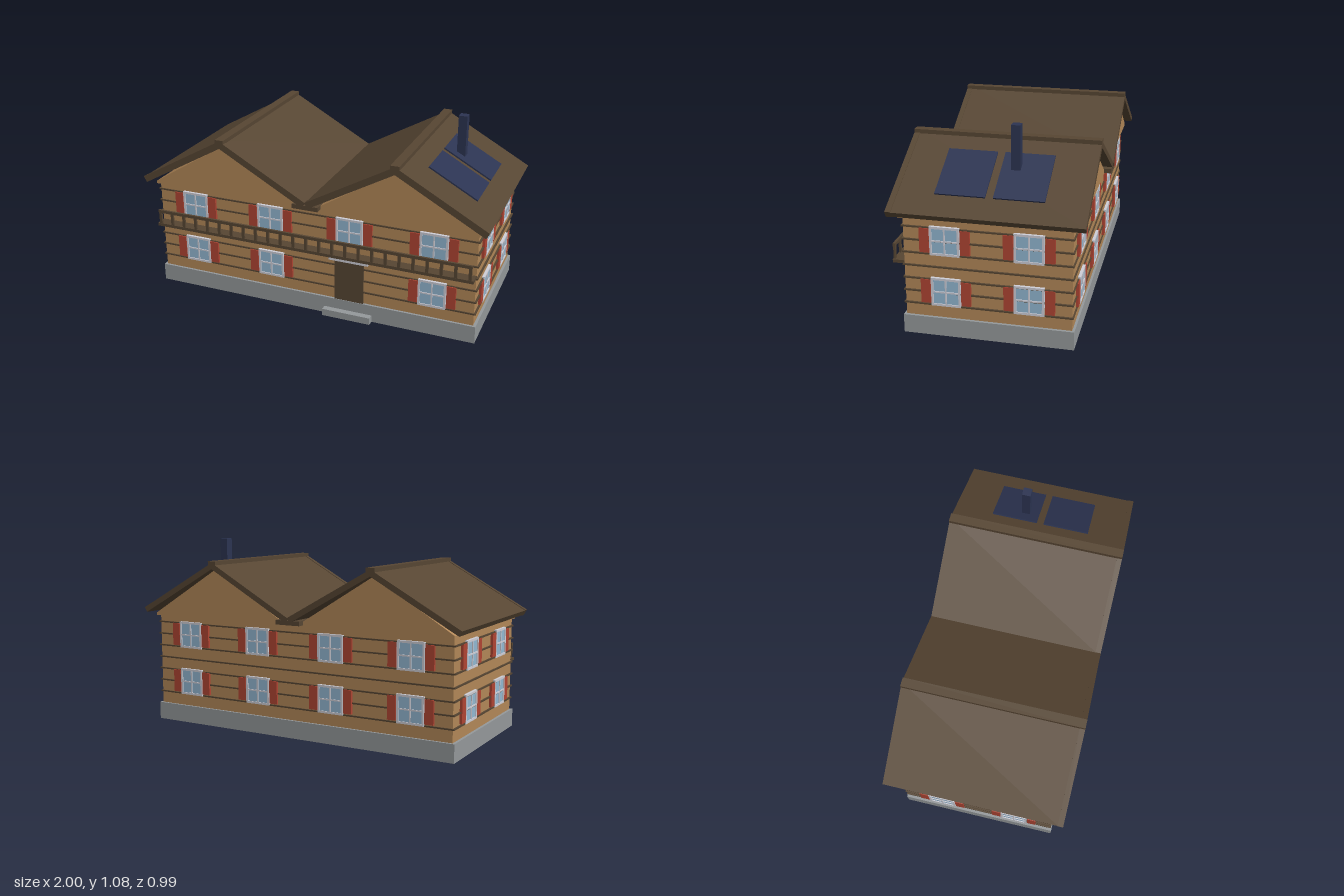
import * as THREE from 'three';

const mat = (name, color) => {
  const m = new THREE.MeshStandardMaterial({ color });
  m.name = name;
  return m;
};

export function createModel() {
  const house = new THREE.Group();
  house.name = 'doubleGableChalet';

  const wood = mat('honeyWood', 0xb38858);
  const timber = mat('darkTimber', 0x574633);
  const stone = mat('greyStone', 0x95999b);
  const trim = mat('paleTrim', 0xcfcfd8);
  const red = mat('shutterRed', 0xb04533);
  const glass = mat('windowGlass', 0x93b8d2);
  const navy = mat('navy', 0x2c3452);

  // Box given by its min and max corners
  const box = (name, m, x0, x1, y0, y1, z0, z1, parent = house) => {
    const mesh = new THREE.Mesh(new THREE.BoxGeometry(x1 - x0, y1 - y0, z1 - z0), m);
    mesh.position.set((x0 + x1) / 2, (y0 + y1) / 2, (z0 + z1) / 2);
    mesh.name = name;
    parent.add(mesh);
    return mesh;
  };

  // Base, walls and dark log joints
  box('foundation', stone, -0.95, 0.95, 0, 0.1, -0.443, 0.443);
  box('walls', wood, -0.935, 0.935, 0.1, 0.64, -0.43, 0.43);
  for (let i = 0; i < 7; i++) {
    const y = 0.17 + i * 0.07;
    box('logJoint', timber, -0.945, 0.945, y - 0.004, y + 0.004, -0.437, 0.437);
  }

  // Twin gable block
  const gable = new THREE.Shape([
    [-0.945, 0.63], [0.945, 0.63], [0.945, 0.645], [0.5, 0.918],
    [0.055, 0.645], [-0.055, 0.645], [-0.5, 0.918], [-0.945, 0.645],
  ].map(([x, y]) => new THREE.Vector2(x, y)));
  const gables = new THREE.Mesh(
    new THREE.ExtrudeGeometry(gable, { depth: 0.91, bevelEnabled: false }), wood);
  gables.position.z = -0.455;
  gables.name = 'gables';
  house.add(gables);

  // Roof slopes: local x runs down the slope, local y is the outward normal
  const RIDGE_Y = 0.955, EAVE_Y = 0.677;
  const pitch = Math.atan2(RIDGE_Y - EAVE_Y, 0.5);
  const length = Math.hypot(0.5, RIDGE_Y - EAVE_Y);
  const slopes = [];
  for (const ridgeX of [-0.5, 0.5]) {
    for (const side of [1, -1]) {
      const pivot = new THREE.Group();
      pivot.name = 'roofSlope';
      pivot.position.set(ridgeX, RIDGE_Y, 0);
      pivot.rotation.z = -side * pitch;
      const [a, b] = side > 0 ? [0, length] : [-length, 0];
      box('roofPanel', timber, a, b, -0.031, 0, -0.497, 0.47, pivot);
      box('bargeBoard', timber, a, b, -0.034, 0.003, 0.467, 0.497, pivot);
      house.add(pivot);
      slopes.push(pivot);
    }
    box('ridgeCap', timber, ridgeX - 0.025, ridgeX + 0.025, 0.942, 0.964, -0.497, 0.497);
  }
  box('valleyGutter', timber, -0.075, 0.075, 0.637, 0.662, -0.495, 0.495);

  // Solar panels on the outer right-hand slope, and chimney
  for (const z of [-0.149, 0.149]) {
    box('solarPanel', navy, 0.127, 0.435, 0, 0.008, z - 0.129, z + 0.129, slopes[2]);
  }
  box('chimney', navy, 0.671, 0.719, 0.78, 1.075, -0.121, -0.073);

  // Window with cross bars and a pair of shutters
  const H = 0.077;
  const square = (T, x, y, r) => {
    const s = new T();
    s.moveTo(x - r, y - r);
    s.lineTo(x + r, y - r);
    s.lineTo(x + r, y + r);
    s.lineTo(x - r, y + r);
    s.closePath();
    return s;
  };
  const frameShape = square(THREE.Shape, 0, 0, H);
  for (const x of [-1, 1]) {
    for (const y of [-1, 1]) {
      frameShape.holes.push(square(THREE.Path, x * 0.0345, y * 0.0345, 0.0305));
    }
  }
  const frameGeo = new THREE.ExtrudeGeometry(frameShape, { depth: 0.015, bevelEnabled: false });

  const addWindow = (x, y, z, turn) => {
    const w = new THREE.Group();
    w.name = 'window';
    const frame = new THREE.Mesh(frameGeo, trim);
    frame.name = 'windowFrame';
    w.add(frame);
    box('windowPane', glass, -0.07, 0.07, -0.07, 0.07, 0.002, 0.01, w);
    for (const s of [-1, 1]) {
      box('shutter', red, s * 0.105 - 0.025, s * 0.105 + 0.025, -0.065, 0.065, 0, 0.014, w);
    }
    w.position.set(x, y, z);
    w.rotation.y = turn;
    house.add(w);
  };

  const DOOR_X = 0.235;
  for (const y of [0.245, 0.523]) {
    for (const x of [-0.705, -0.235, DOOR_X, 0.705]) {
      if (!(x === DOOR_X && y < 0.3)) addWindow(x, y, 0.43, 0);
      addWindow(x, y, -0.43, Math.PI);
    }
    for (const z of [-0.214, 0.214]) {
      addWindow(0.935, y, z, Math.PI / 2);
      addWindow(-0.935, y, z, -Math.PI / 2);
    }
  }

  // Entrance
  box('door', timber, 0.15, 0.318, 0.1, 0.342, 0.42, 0.44);
  box('doorCanopy', trim, 0.12, 0.345, 0.342, 0.364, 0.42, 0.45);
  box('doorStep', stone, 0.09, 0.37, 0, 0.04, 0.44, 0.478);

  // Balcony
  box('balconyFloor', timber, -0.935, 0.935, 0.38, 0.397, 0.42, 0.493);
  box('handrail', timber, -0.925, 0.925, 0.464, 0.481, 0.48, 0.493);
  for (let i = 0; i < 25; i++) {
    const x = -0.915 + (i * 1.83) / 24;
    box('baluster', timber, x - 0.008, x + 0.008, 0.39, 0.47, 0.481, 0.492);
  }

  return house;
}
